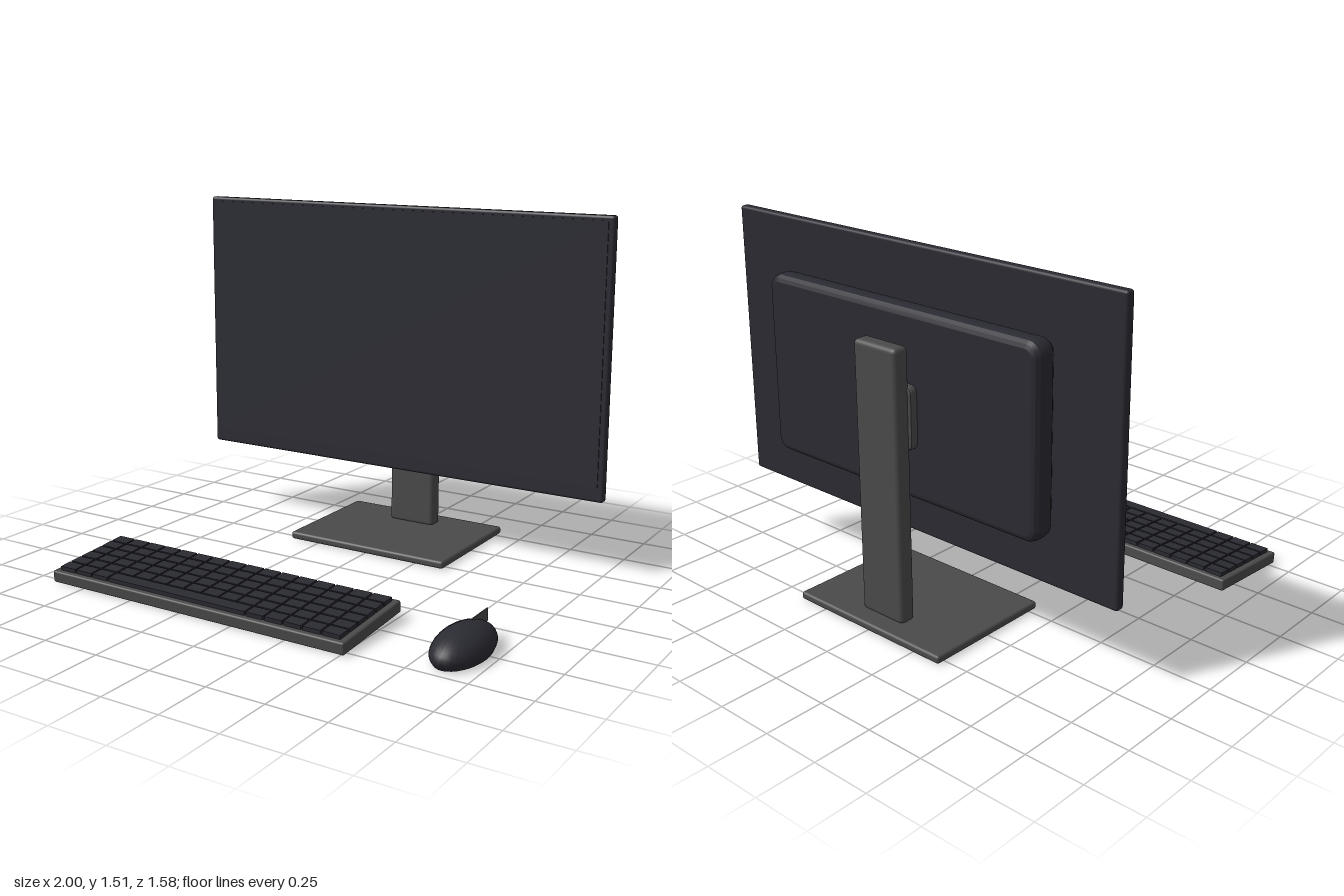
import * as THREE from 'three';
import { RoundedBoxGeometry } from 'three/addons/geometries/RoundedBoxGeometry.js';

const mat = (name, color) => Object.assign(new THREE.MeshStandardMaterial({ color }), { name });

export function createModel() {
  const dark = mat('dark shell', 0x2a2a32);
  const screenMat = mat('screen', 0x2b2b34);
  const grey = mat('stand grey', 0x4b4a4b);
  const model = new THREE.Group();
  model.name = 'desktopSet';

  const add = (parent, name, geometry, material, x = 0, y = 0, z = 0) => {
    const mesh = new THREE.Mesh(geometry, material);
    mesh.name = name;
    mesh.position.set(x, y, z);
    parent.add(mesh);
    return mesh;
  };
  const rounded = (w, h, d, r) => new RoundedBoxGeometry(w, h, d, 3, r);

  // Rounded rectangle centred on the origin
  const roundRect = (w, h, r) => {
    const s = new THREE.Shape();
    const x = w / 2, y = h / 2;
    s.moveTo(-x + r, -y);
    s.lineTo(x - r, -y).absarc(x - r, -y + r, r, -Math.PI / 2, 0);
    s.lineTo(x, y - r).absarc(x - r, y - r, r, 0, Math.PI / 2);
    s.lineTo(-x + r, y).absarc(-x + r, y - r, r, Math.PI / 2, Math.PI);
    s.lineTo(-x, -y + r).absarc(-x + r, -y + r, r, Math.PI, Math.PI * 1.5);
    return s;
  };
  // Slab with bevelled rims, w by h by d overall and centred
  const bevelled = (w, h, d, r, size, thick, segments) => {
    const g = new THREE.ExtrudeGeometry(roundRect(w - 2 * size, h - 2 * size, r), {
      depth: d - 2 * thick, bevelEnabled: true, bevelSize: size,
      bevelThickness: thick, bevelSegments: segments, curveSegments: 5,
    });
    return g.translate(0, 0, -(d - 2 * thick) / 2);
  };

  // Monitor
  const monitor = new THREE.Group();
  monitor.name = 'monitor';
  model.add(monitor);
  add(monitor, 'panel', rounded(2, 1.185, 0.042, 0.012), dark, 0, 0.922, -0.479);
  add(monitor, 'screen', new THREE.BoxGeometry(1.95, 1.1, 0.006), screenMat, 0, 0.945, -0.457);
  add(monitor, 'rearHousing', bevelled(1.425, 0.77, 0.108, 0.03, 0.03, 0.042, 3), dark, 0, 0.914, -0.554);

  // Stand
  const stand = new THREE.Group();
  stand.name = 'stand';
  model.add(stand);
  add(stand, 'mountPlate', bevelled(0.255, 0.26, 0.04, 0.02, 0.01, 0.01, 2), grey, 0, 0.88, -0.622);
  add(stand, 'column', rounded(0.225, 1.145, 0.075, 0.02), grey, 0, 0.597, -0.668);
  add(stand, 'base', rounded(0.78, 0.034, 0.58, 0.012), grey, 0, 0.017, -0.5);

  // Keyboard, tilted down towards the front
  const keyboard = new THREE.Group();
  keyboard.name = 'keyboard';
  keyboard.position.set(-0.197, 0.04, 0.575);
  keyboard.rotation.x = 0.07;
  model.add(keyboard);
  add(keyboard, 'keyboardBody', rounded(1.425, 0.05, 0.42, 0.008), grey);

  const columns = 16, rows = 6, pitchX = 0.0862, pitchZ = 0.0635, gap = 0.008;
  const addKey = (row, col, span) => {
    add(keyboard, span > 1 ? 'spaceBar' : 'key',
      new THREE.BoxGeometry(pitchX * span - gap, 0.022, pitchZ - gap), dark,
      (col + span / 2 - columns / 2) * pitchX, 0.031, (row + 0.5 - rows / 2) * pitchZ);
  };
  for (let row = 0; row < rows; row++) {
    for (let col = 0; col < columns;) {
      const span = row === rows - 1 && col === 3 ? 8 : 1;
      addKey(row, col, span);
      col += span;
    }
  }

  // Mouse: domed oval with an inset, flat underside
  const mouse = new THREE.Group();
  mouse.name = 'mouse';
  mouse.position.set(0.875, 0, 0.54);
  model.add(mouse);
  const dome = [new THREE.Vector2(0.9, 0.004), new THREE.Vector2(0.96, 0.018)];
  for (let i = 0; i <= 10; i++) {
    const a = (i / 10) * Math.PI / 2;
    dome.push(new THREE.Vector2(i === 10 ? 0 : Math.cos(a), 0.034 + 0.083 * Math.sin(a)));
  }
  const shell = new THREE.LatheGeometry(dome, 32).scale(0.102, 1, 0.19);
  shell.computeVertexNormals();
  add(mouse, 'mouseShell', shell, dark);
  const sole = new THREE.CircleGeometry(0.9, 32).rotateX(Math.PI / 2).scale(0.102, 1, 0.19);
  add(mouse, 'mouseSole', sole, dark, 0, 0.004, 0);

  // Thin divider between the mouse buttons
  add(mouse, 'buttonDivider', new THREE.BoxGeometry(0.005, 0.05, 0.12), grey, 0, 0.094, -0.13);

  return model;
}
